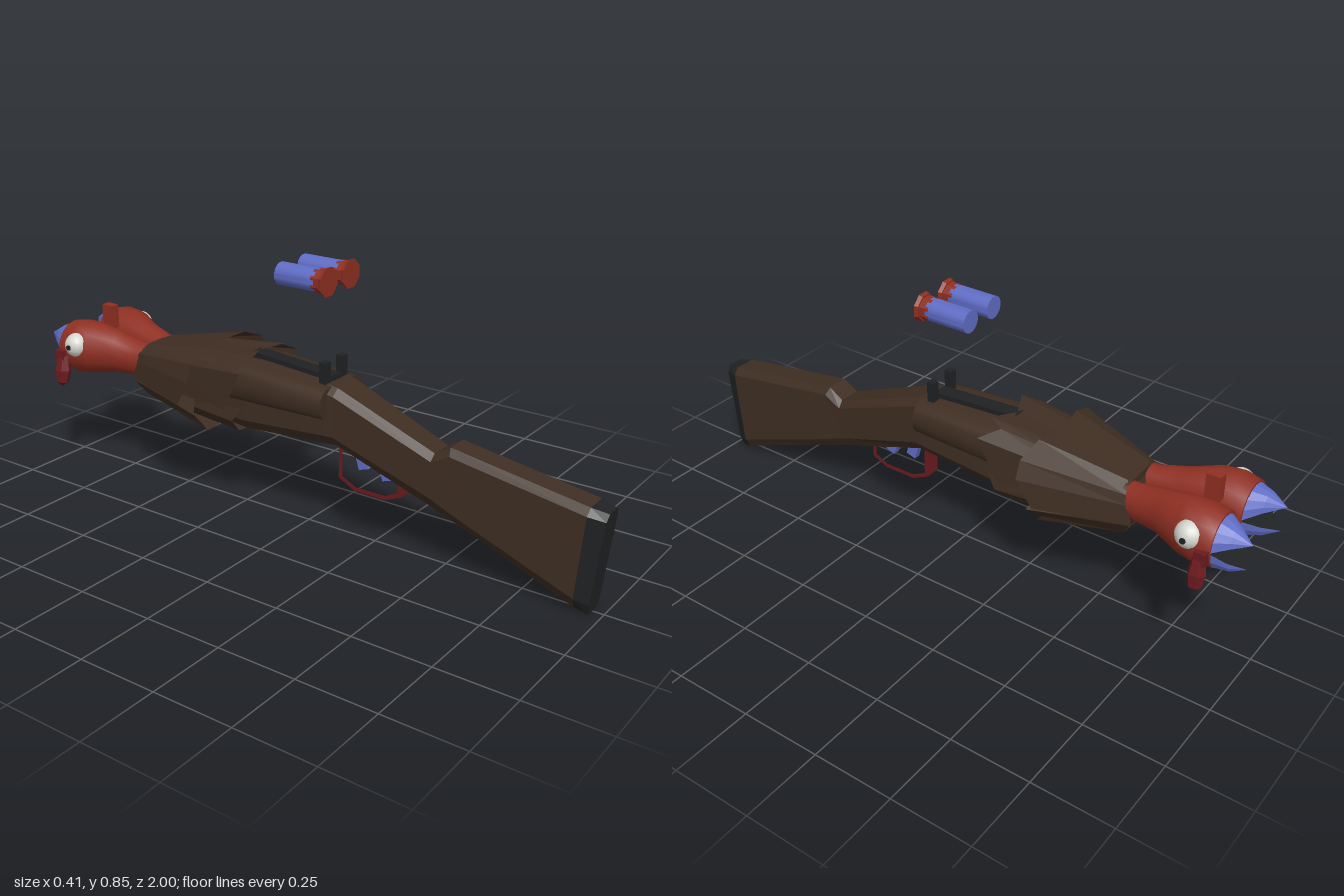
import * as THREE from 'three';
import { toCreasedNormals } from 'three/addons/utils/BufferGeometryUtils.js';

const mat = (name, color, side = THREE.FrontSide) =>
  Object.assign(new THREE.MeshStandardMaterial({ color, side }), { name });

// Skin between rings of [x, y, z], listed from +z to -z, each counterclockwise seen from +z
function loft(rings, { closed = true, caps = true, crease = 0 } = {}) {
  const n = rings[0].length, index = [];
  for (let r = 0; r < rings.length - 1; r++) {
    for (let k = 0; k < (closed ? n : n - 1); k++) {
      const a = r * n + k, b = r * n + (k + 1) % n;
      index.push(a, a + n, b, b, a + n, b + n);
    }
  }
  if (closed && caps) {
    const last = (rings.length - 1) * n;
    for (let k = 1; k < n - 1; k++) index.push(0, k, k + 1, last, last + k + 1, last + k);
  }
  const g = new THREE.BufferGeometry();
  g.setAttribute('position', new THREE.Float32BufferAttribute(rings.flat(2), 3));
  g.setIndex(index);
  if (crease) return toCreasedNormals(g, crease);
  const flat = g.toNonIndexed();
  flat.computeVertexNormals();
  return flat;
}

// Rounded ring; power below 1 makes it boxier
function oval(cx, cy, rx, ry, z, power = 1, n = 16, from = 0, sweep = Math.PI * 2) {
  const full = sweep > 6;
  const soft = (v) => Math.sign(v) * Math.abs(v) ** power;
  return Array.from({ length: full ? n : n + 1 }, (_, i) => {
    const a = from + (sweep * i) / n;
    return [cx + rx * soft(Math.cos(a)), cy + ry * soft(Math.sin(a)), z];
  });
}

// Slanted rectangle with cut corners
function cutBox([zTop, yTop, zBot, yBot, w]) {
  const h = yTop - yBot, c = Math.min(0.035, h * 0.25) / h, i = w * 0.65;
  return [[w, c], [w, 1 - c * 0.6], [i, 1], [-i, 1], [-w, 1 - c * 0.6], [-w, c], [-i, 0], [i, 0]]
    .map(([x, t]) => [x, yBot + h * t, zBot + (zTop - zBot) * t]);
}

// Half an outline on the +x side, mirrored into a full strip
const mirrored = (half) => [...half, ...half.slice(0, -1).reverse().map(([x, y, z]) => [-x, y, z])];

export function createModel() {
  const model = new THREE.Group();
  const wood = mat('dark wood', 0x3f2e22);
  const feather = mat('feather wood', 0x3f2e22, THREE.DoubleSide);
  feather.name = 'dark wood plates';
  const black = mat('black metal', 0x1f2122, THREE.DoubleSide);
  const red = mat('bird red', 0x8f2f22);
  const crimson = mat('crimson', 0x6c1b1f);
  const blue = mat('blue', 0x5f6cc4, THREE.DoubleSide);
  const white = mat('eye white', 0xd6d6d0);

  const add = (name, geometry, material, x = 0, y = 0, z = 0) => {
    const m = new THREE.Mesh(geometry, material);
    m.name = name;
    m.position.set(x, y, z);
    model.add(m);
    return m;
  };
  const box = (name, w, h, d, material, x, y, z) =>
    add(name, new THREE.BoxGeometry(w, h, d), material, x, y, z);

  // Stock, receiver and butt plate
  const butt = [0.95, 0.325, 0.925, 0.015, 0.055];
  add('buttPlate', loft([[1, 0.315, 0.965, 0, 0.038], butt].map(cutBox)), black);
  add('stock', loft([
    butt,
    [0.52, 0.39, 0.6, 0.14, 0.055],
    [0.47, 0.36, 0.45, 0.195, 0.057],
    [0.14, 0.49, 0.14, 0.305, 0.075],
    [0.11, 0.495, 0.11, 0.305, 0.078],
    [-0.2, 0.50, -0.2, 0.283, 0.08],
    [-0.6, 0.47, -0.6, 0.31, 0.07],
  ].map(cutBox)), wood);

  // Twin barrel housing
  add('barrelHousing', loft([
    oval(0, 0.44, 0.11, 0.054, 0.12, 0.6, 20),
    oval(0, 0.447, 0.12, 0.066, -0.15, 0.6, 20),
    oval(0, 0.44, 0.115, 0.065, -0.4, 0.6, 20),
    oval(0, 0.43, 0.095, 0.055, -0.61, 0.6, 20),
  ], { crease: 0.7 }), wood);

  // Overlapping flared feather plates: rear hem, then front edge
  const plates = {
    upperRearFeathers: [
      [[0.145, 0.37, -0.22], [0.15, 0.5, -0.15], [0.1, 0.525, -0.2], [0.08, 0.538, -0.15], [0, 0.53, -0.19]],
      [[0.115, 0.38, -0.45], [0.115, 0.47, -0.45], [0.09, 0.5, -0.45], [0.05, 0.51, -0.45], [0, 0.51, -0.45]],
    ],
    upperFrontFeathers: [
      [[0.19, 0.365, -0.37], [0.2, 0.45, -0.32], [0.18, 0.505, -0.32], [0.1, 0.537, -0.33], [0, 0.53, -0.35]],
      [[0.1, 0.37, -0.64], [0.1, 0.43, -0.625], [0.095, 0.46, -0.615], [0.06, 0.485, -0.6], [0, 0.485, -0.6]],
    ],
    lowerRearFeathers: [
      [[0.125, 0.38, -0.17], [0.13, 0.33, -0.2], [0.085, 0.283, -0.21], [0, 0.28, -0.2]],
      [[0.11, 0.38, -0.45], [0.11, 0.34, -0.45], [0.07, 0.295, -0.45], [0, 0.295, -0.45]],
    ],
    lowerFrontFeathers: [
      [[0.13, 0.37, -0.35], [0.16, 0.33, -0.33], [0.1, 0.28, -0.35], [0.095, 0.257, -0.33], [0, 0.257, -0.34]],
      [[0.1, 0.375, -0.64], [0.1, 0.365, -0.635], [0.075, 0.32, -0.61], [0.06, 0.305, -0.6], [0, 0.305, -0.6]],
    ],
  };
  for (const [name, edges] of Object.entries(plates))
    add(name, loft(edges.map(mirrored), { closed: false }), feather);
  // Nose closing the front of the plates
  add('featherNose', loft([
    oval(0, 0.4, 0.1, 0.085, -0.58, 0.8, 10),
    oval(0, 0.395, 0.09, 0.08, -0.605, 0.8, 10),
    oval(0, 0.385, 0.085, 0.03, -0.63, 0.8, 10),
  ]), wood);

  // Sighting rib and rear sight
  box('sightRib', 0.05, 0.025, 0.3, black, 0, 0.508, -0.05).rotation.x = 0.07;
  box('rearSightBase', 0.11, 0.014, 0.025, black, 0, 0.497, 0.09);
  for (const s of [1, -1]) box('rearSightPost', 0.026, 0.07, 0.024, black, s * 0.044, 0.525, 0.09);

  // Trigger guard, drawn in the side plane and extruded across
  const pts = (list) => list.map(([z, y]) => new THREE.Vector2(z, y));
  const guard = new THREE.Shape(pts([[0.355, 0.26], [0.355, 0.185], [0.3, 0.16], [0.19, 0.16], [0.13, 0.19], [0.13, 0.335]]));
  guard.holes.push(new THREE.Path(pts([[0.342, 0.255], [0.342, 0.195], [0.298, 0.174], [0.193, 0.174], [0.143, 0.198], [0.143, 0.32]])));
  const guardGeo = new THREE.ExtrudeGeometry(guard, { depth: 0.05, bevelEnabled: false });
  guardGeo.translate(0, 0, -0.025).rotateY(-Math.PI / 2);
  add('triggerGuard', guardGeo, crimson);
  for (const [z, y] of [[0.285, 0.25], [0.2, 0.265]])
    box('trigger', 0.022, 0.07, 0.035, blue, 0, y, z).rotation.x = -0.3;

  // Crest between the two heads
  box('crest', 0.03, 0.08, 0.045, red, 0, 0.525, -0.83);

  for (const s of [1, -1]) {
    // Neck and head
    add('birdHead', loft([
      oval(s * 0.055, 0.425, 0.044, 0.055, -0.57),
      oval(s * 0.057, 0.425, 0.046, 0.056, -0.63),
      oval(s * 0.068, 0.435, 0.055, 0.068, -0.72),
      oval(s * 0.087, 0.44, 0.08, 0.085, -0.8),
      oval(s * 0.093, 0.438, 0.086, 0.09, -0.86),
      oval(s * 0.09, 0.435, 0.08, 0.083, -0.91),
    ], { crease: 0.6 }), red);
    const mouth = add('mouth', new THREE.CircleGeometry(0.07, 16), black, s * 0.09, 0.435, -0.912);
    mouth.rotation.y = Math.PI;

    // Open beak: curved shell outside, dark plate inside
    for (const up of [1, -1]) {
      const tip = [s * 0.107, up > 0 ? 0.463 : 0.382, up > 0 ? -1 : -0.993];
      const start = up > 0 ? 0 : Math.PI;
      const rings = [
        oval(s * 0.09, 0.432, 0.077, 0.08, -0.905, 1, 8, start, Math.PI),
        oval(s * 0.1, up > 0 ? 0.45 : 0.404, 0.042, 0.045, -0.95, 1, 8, start, Math.PI),
        Array.from({ length: 9 }, () => tip),
      ];
      add(up > 0 ? 'upperBeak' : 'lowerBeak', loft(rings, { closed: false }), blue);
      add('mouthLining', loft(rings.map((r) => [r[0], r[8]]), { closed: false }), black);
    }

    // Eye, pupil and wattle
    add('eye', new THREE.SphereGeometry(0.041, 16, 12), white, s * 0.152, 0.46, -0.84);
    const pupil = add('pupil', new THREE.CylinderGeometry(0.009, 0.009, 0.006, 10), black, s * 0.192, 0.46, -0.84);
    pupil.rotation.z = Math.PI / 2;
    box('wattleRoot', 0.045, 0.04, 0.035, crimson, s * 0.168, 0.42, -0.89);
    const drop = new THREE.LatheGeometry(
      pts([[0, -0.06], [0.02, -0.045], [0.027, -0.005], [0.018, 0.045], [0, 0.055]]), 6).toNonIndexed();
    drop.computeVertexNormals();
    add('wattle', drop, crimson, s * 0.18, 0.375, -0.885).rotation.z = s * 0.15;

    // Floating cartridge
    const tube = (r1, r2, len, n) =>
      toCreasedNormals(new THREE.CylinderGeometry(r1, r2, len, n).rotateY(Math.PI / n).rotateX(Math.PI / 2), 0.6);
    add('cartridgeBody', tube(0.035, 0.035, 0.14, 16), blue, s * 0.057, 0.81, 0.01);
    add('cartridgeCap', tube(0.037, 0.037, 0.035, 8), red, s * 0.057, 0.81, 0.087);
    add('cartridgeRim', tube(0.046, 0.042, 0.012, 8), red, s * 0.057, 0.81, 0.106);
  }
  return model;
}
